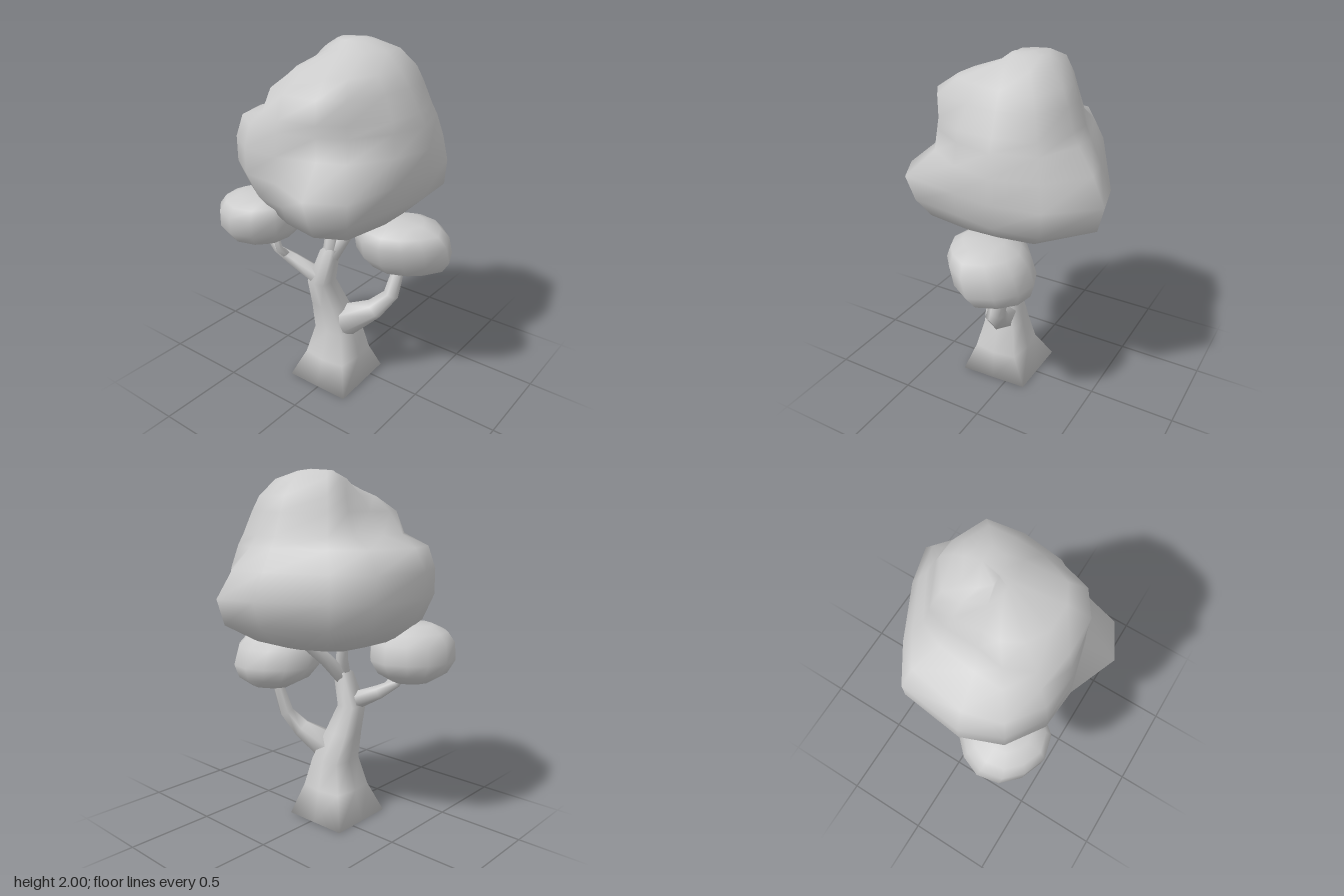
import * as THREE from 'three';

const material = new THREE.MeshStandardMaterial({ color: 0xcccccc });
const V = (x, y, z) => new THREE.Vector3(x, y, z);

// Smooth closed skin over rings of points, capped with a pole at each end
function loft(name, rings, bottom, top) {
  const n = rings[0].length;
  const points = [...rings.flat(), bottom, top];
  const low = points.length - 2, high = points.length - 1;
  const last = (rings.length - 1) * n;
  const index = [];
  for (let j = 0; j < n; j++) {
    const k = (j + 1) % n;
    index.push(low, j, k, high, last + k, last + j);
    for (let i = 0; i < last; i += n) {
      index.push(i + j, i + n + j, i + k, i + k, i + n + j, i + n + k);
    }
  }
  const geometry = new THREE.BufferGeometry().setFromPoints(points);
  geometry.setIndex(index);
  geometry.computeVertexNormals();
  const mesh = new THREE.Mesh(geometry, material);
  mesh.name = name;
  return mesh;
}

// Horizontal ring with one radius per direction (degrees from +x towards +z)
function ring(y, radii, angles, cx = 0, cz = 0) {
  return radii.map((r, i) => {
    const a = THREE.MathUtils.degToRad(angles[i]);
    return V(cx + r * Math.cos(a), y, cz + r * Math.sin(a));
  });
}

// Tapering six-sided branch through path points [x, y, z, radius]
function limb(name, path) {
  const at = path.map(([x, y, z]) => V(x, y, z));
  const rings = path.map(([, , , r], i) => {
    const t = at[Math.min(i + 1, at.length - 1)].clone().sub(at[Math.max(i - 1, 0)]).normalize();
    const u = t.clone().cross(V(0, 0, 1)).normalize();
    const v = u.clone().cross(t);
    return Array.from({ length: 6 }, (_, j) => {
      const a = (j / 6) * Math.PI * 2;
      return at[i].clone().addScaledVector(u, r * Math.cos(a)).addScaledVector(v, r * Math.sin(a));
    });
  });
  return loft(name, rings, at[0], at[at.length - 1]);
}

// Flattened leaf clump: one outline scaled up a rounded profile, leaning by [dx, dz]
function clump(name, x, z, y0, y1, [dx, dz], outline) {
  const profile = [[0.02, 0.45], [0.18, 0.82], [0.4, 1], [0.7, 0.98], [0.87, 0.82], [0.98, 0.5]];
  const angles = outline.map((_, i) => (i * 360) / outline.length);
  const rings = profile.map(([h, s]) => ring(y0 + h * (y1 - y0), outline.map(r => r * s), angles,
    x + dx * (h - 0.5), z + dz * (h - 0.5)));
  return loft(name, rings, V(x - dx / 2, y0, z - dz / 2), V(x + dx / 2, y1, z + dz / 2));
}

// Trunk: skewed four-cornered foot narrowing to a rounded stem
function makeTrunk() {
  const foot = [[0.12, 0.17], [-0.29, 0.19], [-0.29, -0.21], [0.12, -0.22]];
  const base = foot.flatMap(([x, z], i) => {
    const [nx, nz] = foot[(i + 1) % 4];
    return [V(x, 0, z), V((x + nx) / 2, 0, (z + nz) / 2)];
  });
  // [y, centre x, centre z, half width, half depth]
  const stem = [
    [0.17, -0.095, 0, 0.155, 0.155], [0.34, -0.09, 0, 0.115, 0.11],
    [0.5, -0.125, -0.03, 0.085, 0.09], [0.66, -0.17, -0.055, 0.07, 0.065],
    [0.86, -0.145, -0.01, 0.05, 0.045],
  ].map(([y, cx, cz, w, d]) => Array.from({ length: 8 }, (_, j) => {
    const a = Math.PI / 4 + (j * Math.PI) / 4;
    const s = j % 2 ? 1 : 1.22;
    return V(cx + w * s * Math.cos(a), y, cz + d * s * Math.sin(a));
  }));
  return loft('trunk', [base, ...stem], V(-0.08, 0, -0.02), V(-0.145, 0.88, -0.01));
}

// Main crown: each row is a height and one radius per direction
function makeCrown() {
  const angles = [0, 20, 50, 80, 110, 143, 163, 190, 213, 235, 257, 292, 315];
  const rows = [
    [1.1, [0.37, 0.41, 0.4, 0.34, 0.36, 0.49, 0.49, 0.43, 0.42, 0.42, 0.4, 0.39, 0.36]],
    [1.2, [0.49, 0.59, 0.54, 0.44, 0.42, 0.57, 0.56, 0.46, 0.5, 0.54, 0.53, 0.54, 0.47]],
    [1.34, [0.535, 0.63, 0.55, 0.47, 0.45, 0.615, 0.62, 0.495, 0.56, 0.6, 0.59, 0.575, 0.495]],
    [1.48, [0.47, 0.545, 0.52, 0.47, 0.43, 0.45, 0.45, 0.49, 0.56, 0.6, 0.59, 0.575, 0.48]],
    [1.6, [0.41, 0.44, 0.48, 0.44, 0.41, 0.43, 0.44, 0.48, 0.53, 0.56, 0.53, 0.5, 0.42]],
    [1.66, [0.38, 0.4, 0.45, 0.41, 0.4, 0.42, 0.44, 0.46, 0.46, 0.42, 0.35, 0.34, 0.36]],
    [1.78, [0.34, 0.36, 0.4, 0.35, 0.34, 0.42, 0.44, 0.43, 0.41, 0.35, 0.27, 0.28, 0.32]],
    [1.86, [0.31, 0.32, 0.36, 0.3, 0.27, 0.32, 0.32, 0.31, 0.29, 0.26, 0.22, 0.25, 0.295]],
    [1.95, [0.23, 0.24, 0.27, 0.22, 0.15, 0.09, 0.07, 0.06, 0.07, 0.09, 0.13, 0.19, 0.25]],
    [1.99, [0.17, 0.16, 0.14, 0.1, 0.05, 0.02, 0.01, 0.01, 0.01, 0.02, 0.05, 0.1, 0.16]],
  ];
  const underside = ring(1.045, rows[0][1].map(r => r * 0.57), angles);
  const rings = rows.map(([y, radii]) => ring(y, radii, angles));
  return loft('crown', [underside, ...rings], V(-0.07, 1.025, -0.04), V(0.09, 2, 0.02));
}

export function createModel() {
  const tree = new THREE.Group();
  tree.name = 'tree';
  tree.add(
    makeTrunk(),
    makeCrown(),
    clump('frontLeafClump', 0.04, 0.36, 0.755, 1.095, [-0.1, 0],
      [0.24, 0.25, 0.255, 0.275, 0.235, 0.225, 0.24, 0.25, 0.27, 0.27, 0.24, 0.225]),
    clump('backLeafClump', -0.27, -0.4, 0.855, 1.175, [-0.05, 0.04],
      [0.24, 0.24, 0.23, 0.23, 0.25, 0.26, 0.26, 0.245, 0.245, 0.235, 0.22, 0.22]),
    limb('frontBranch', [[-0.1, 0.39, 0.05, 0.1], [-0.02, 0.49, 0.21, 0.06],
      [0.03, 0.59, 0.29, 0.044], [0.09, 0.82, 0.32, 0.03]]),
    limb('backBranch', [[-0.18, 0.68, -0.06, 0.055], [-0.22, 0.76, -0.22, 0.04],
      [-0.26, 0.82, -0.31, 0.026], [-0.28, 0.92, -0.38, 0.018]]),
    limb('backTwig', [[-0.23, 0.78, -0.25, 0.026], [-0.28, 0.83, -0.27, 0.022],
      [-0.29, 0.92, -0.29, 0.018]]),
    limb('upperFrontBranch', [[-0.15, 0.82, -0.01, 0.052], [-0.03, 0.95, 0.03, 0.042],
      [0.12, 1.08, 0.08, 0.032]]),
    limb('upperBackBranch', [[-0.15, 0.82, -0.01, 0.045], [-0.12, 0.95, -0.02, 0.035],
      [-0.09, 1.08, -0.06, 0.028]]),
  );
  return tree;
}
